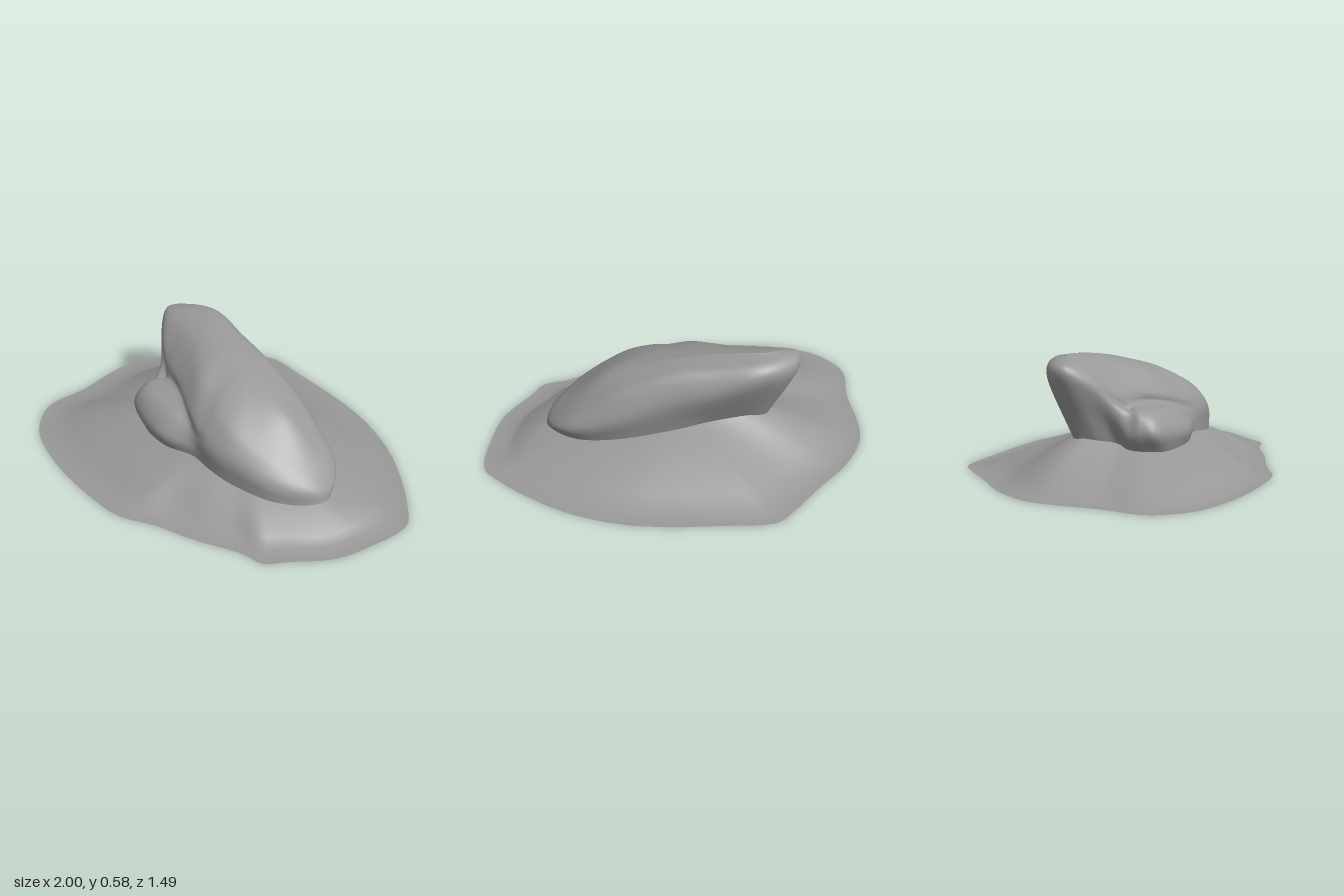
import * as THREE from 'three';

const material = new THREE.MeshStandardMaterial({ color: 0x999999, side: THREE.DoubleSide });
const vec = (a) => new THREE.Vector3(...a);
const spline = (pts) => new THREE.CatmullRomCurve3(pts, false, 'catmullrom', 0.5);
const ring = (pts) => new THREE.CatmullRomCurve3(pts, true, 'catmullrom', 0.5);

// Smooth skin over closed loops of stations; the loops run from the bottom or rim upward
function loft(name, loops, around, up) {
  const rings = loops.map((loop) => {
    const curve = ring(loop);
    return Array.from({ length: around }, (_, j) => curve.getPoint(j / around));
  });
  const position = [], index = [];
  for (let j = 0; j < around; j++) {
    const column = spline(rings.map((r) => r[j]));
    for (let i = 0; i <= up; i++) position.push(...column.getPoint(i / up).toArray());
  }
  const id = (j, i) => (j % around) * (up + 1) + i;
  for (let j = 0; j < around; j++) {
    for (let i = 0; i < up; i++) {
      index.push(id(j, i), id(j + 1, i), id(j, i + 1));
      index.push(id(j + 1, i), id(j + 1, i + 1), id(j, i + 1));
    }
  }
  const geometry = new THREE.BufferGeometry();
  geometry.setAttribute('position', new THREE.Float32BufferAttribute(position, 3));
  geometry.setIndex(index);
  geometry.computeVertexNormals();
  const mesh = new THREE.Mesh(geometry, material);
  mesh.name = name;
  return mesh;
}

// Rock: stations go right end, back, left end, ledge (9 to 13), front
const base = [
  [0.645, 0.09, 0.19], [0.54, 0.095, 0.03], [0.35, 0.12, -0.07], [0.1, 0.155, -0.13], [-0.1, 0.18, -0.15],
  [-0.27, 0.195, -0.175], [-0.39, 0.19, -0.18], [-0.4, 0.18, -0.08], [-0.36, 0.155, 0.03],
  [-0.41, 0.14, 0.08], [-0.42, 0.135, 0.16], [-0.36, 0.13, 0.26], [-0.2, 0.14, 0.33], [-0.03, 0.155, 0.34],
  [0.09, 0.145, 0.37], [0.22, 0.125, 0.385], [0.42, 0.105, 0.37], [0.58, 0.09, 0.29],
].map(vec);
const bulge = [
  [0.635, 0.15, 0.15], [0.57, 0.19, 0.01], [0.38, 0.26, -0.1], [0.13, 0.36, -0.18], [-0.08, 0.41, -0.25],
  [-0.29, 0.48, -0.31], [-0.47, 0.48, -0.28], [-0.54, 0.5, -0.19], [-0.48, 0.44, -0.06],
  [-0.4, 0.42, 0.01], [-0.32, 0.41, 0.07], [-0.22, 0.39, 0.15], [-0.1, 0.36, 0.25], [0, 0.34, 0.31],
  [0.09, 0.29, 0.365], [0.22, 0.27, 0.38], [0.42, 0.21, 0.36], [0.58, 0.17, 0.27],
].map(vec);
const shoulder = [
  [0.54, 0.25, 0.13], [0.47, 0.31, 0.03], [0.33, 0.4, -0.06], [0.12, 0.49, -0.13], [-0.1, 0.53, -0.21],
  [-0.29, 0.565, -0.27], [-0.43, 0.565, -0.25], [-0.48, 0.56, -0.18], [-0.43, 0.535, -0.11],
  [-0.36, 0.525, -0.07], [-0.27, 0.51, -0.01], [-0.19, 0.49, 0.07], [-0.1, 0.47, 0.15], [0, 0.44, 0.2],
  [0.08, 0.42, 0.25], [0.2, 0.38, 0.29], [0.38, 0.31, 0.28], [0.5, 0.26, 0.22],
].map(vec);
// The top closes on a ridge that falls from the left end to the right
const ridgeX = [0.24, 0.22, 0.16, 0.04, -0.12, -0.25, -0.33, -0.36, -0.33, -0.29, -0.23, -0.16, -0.08, 0, 0.06, 0.12, 0.19, 0.23];
const ridge = ridgeX.map((x) => vec([x, 0.53 - 0.24 * x - 0.25 * x * x, -0.044 + 0.455 * x]));
const crown = shoulder.map((p, k) => {
  const c = p.clone().lerp(ridge[k], 0.55);
  c.y = THREE.MathUtils.lerp(p.y, ridge[k].y, 0.7);
  return c;
});

// A lower boulder grows out of the left front; elsewhere the wall follows its own curve
const firstLedge = 9;
const wall = (step, ledge) => base.map((p, k) => {
  const own = ledge[k - firstLedge];
  return own ? vec(own) : spline([p, bulge[k], shoulder[k], crown[k], ridge[k]]).getPoint(step / 4);
});
const ledgeSide = wall(0.33, [
  [-0.45, 0.22, 0.085], [-0.47, 0.23, 0.15], [-0.44, 0.23, 0.24], [-0.22, 0.22, 0.345], [-0.03, 0.21, 0.34],
]);
const ledgeTop = wall(0.67, [
  [-0.42, 0.32, 0.08], [-0.43, 0.32, 0.14], [-0.38, 0.315, 0.21], [-0.2, 0.3, 0.285], [-0.03, 0.25, 0.33],
]);
const crevice = wall(1, [
  [-0.37, 0.34, 0.06], [-0.34, 0.345, 0.09], [-0.25, 0.345, 0.14], [-0.14, 0.325, 0.23], [-0.02, 0.285, 0.32],
]);
const upperWall = wall(1.4, bulge.slice(firstLedge, firstLedge + 5).map((p) => p.toArray()));

// Mound rim, as x and z on the ground
const rim = [
  [1, 0.08], [0.95, -0.05], [0.83, -0.22], [0.68, -0.38], [0.48, -0.52], [0.27, -0.61], [0, -0.69],
  [-0.21, -0.745], [-0.32, -0.705], [-0.5, -0.59], [-0.7, -0.47], [-0.84, -0.33], [-0.9, -0.18], [-0.93, 0],
  [-0.95, 0.08], [-1, 0.22], [-0.98, 0.34], [-0.88, 0.48], [-0.66, 0.61], [-0.4, 0.7], [-0.19, 0.74],
  [0, 0.7], [0.22, 0.68], [0.42, 0.64], [0.56, 0.64], [0.65, 0.57], [0.82, 0.44], [0.92, 0.28],
].map(([x, z]) => vec([x, 0, z]));

function createMound() {
  // Opening under the rock, matched to the rim by direction from the middle
  const middle = vec([0.05, 0.15, 0.06]);
  const opening = ring(base).getPoints(300);
  const direction = (p) => vec([p.x - middle.x, 0, p.z - middle.z]).normalize();
  const inner = rim.map((r) => {
    const d = direction(r);
    const hit = opening.reduce((a, b) => (direction(b).dot(d) > direction(a).dot(d) ? b : a));
    const p = hit.clone().lerp(middle, 0.03);
    p.y = hit.y + 0.012;
    return p;
  });
  // A flat border, then rings that climb to the opening
  const border = rim.map((r, k) => r.clone().add(vec([inner[k].x - r.x, 0, inner[k].z - r.z]).setLength(0.09)));
  const slopes = [0, 0.2, 0.4, 0.6, 0.8, 1].map((s) => border.map((b, k) => {
    const p = b.clone().lerp(inner[k], s);
    p.y = inner[k].y * s * (1.32 - 0.32 * s);
    return p;
  }));
  return loft('mound', [rim, ...slopes], 112, slopes.length);
}

export function createModel() {
  const group = new THREE.Group();
  group.name = 'rockOnMound';
  group.add(
    createMound(),
    loft('rock', [base, ledgeSide, ledgeTop, crevice, upperWall, shoulder, crown, ridge], 108, 28),
  );
  return group;
}
